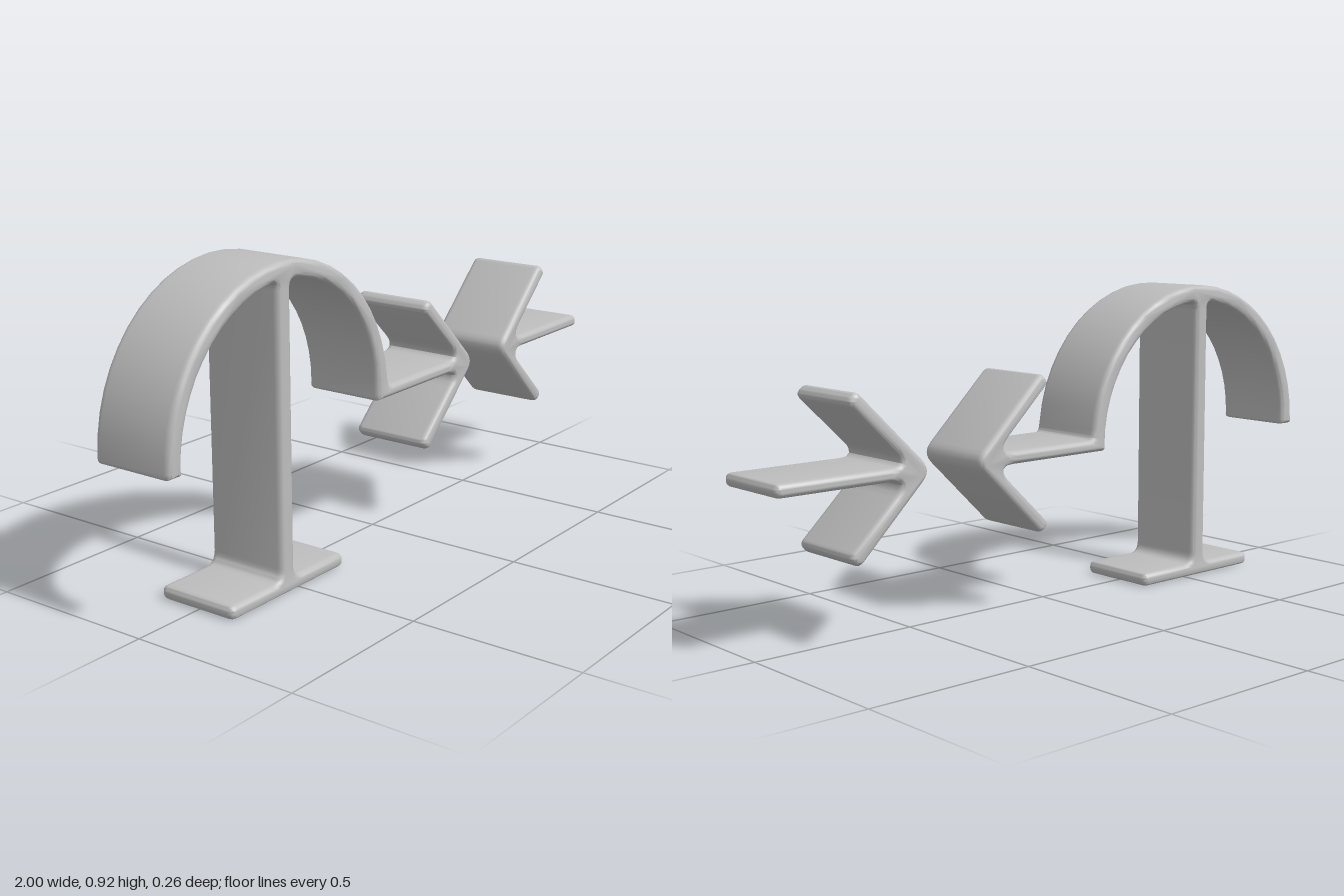
import * as THREE from 'three';
import { toCreasedNormals } from 'three/addons/utils/BufferGeometryUtils.js';

const DEPTH = 0.256, BEVEL = 0.02, MID = 0.465, HALF = 0.019;

// Closed outline from [x, y, cornerRadius] points
function roundedShape(points) {
  const shape = new THREE.Shape();
  const v = points.map(([x, y]) => new THREE.Vector2(x, y));
  const n = v.length;
  points.forEach(([, , r = 0], i) => {
    const p = v[i], a = v[(i + n - 1) % n].clone().sub(p), b = v[(i + 1) % n].clone().sub(p);
    const angle = Math.acos(THREE.MathUtils.clamp(a.dot(b) / (a.length() * b.length()), -1, 1));
    const t = Math.min(r / Math.tan(angle / 2), a.length() * 0.48, b.length() * 0.48);
    const start = p.clone().addScaledVector(a.normalize(), t);
    if (i === 0) shape.moveTo(start.x, start.y);
    else shape.lineTo(start.x, start.y);
    if (r > 0) {
      const end = p.clone().addScaledVector(b.normalize(), t);
      shape.quadraticCurveTo(p.x, p.y, end.x, end.y);
    }
  });
  return shape;
}

// Points along a circular arc of the arch, angles in degrees
function arc(radius, from, to, steps) {
  return Array.from({ length: steps + 1 }, (_, i) => {
    const a = THREE.MathUtils.degToRad(from + (to - from) * i / steps);
    return [-0.545 + radius * Math.cos(a), MID + radius * Math.sin(a), 0];
  });
}

// Arrowhead pointing to +x, traced from the bar's underside to its top
function arrowHead(apex) {
  const upper = [
    [apex - 0.245, 0.235, 0.021], [apex - 0.276, 0.204, 0.021], [apex - 0.08, HALF, 0.025],
  ];
  const lower = upper.map(([x, y, r]) => [x, -y, r]).reverse();
  return [...lower, [apex, 0, 0.045], ...upper].map(([x, y, r]) => [x, MID + y, r]);
}

function solid(name, points, material) {
  const geometry = new THREE.ExtrudeGeometry(roundedShape(points), {
    depth: DEPTH - 2 * BEVEL, curveSegments: 6, bevelEnabled: true,
    bevelThickness: BEVEL, bevelSize: 0.015, bevelOffset: -0.015, bevelSegments: 4,
  });
  geometry.translate(0, 0, BEVEL - DEPTH / 2);
  const mesh = new THREE.Mesh(toCreasedNormals(geometry, 0.7), material);
  mesh.name = name;
  return mesh;
}

export function createModel() {
  const group = new THREE.Group();
  group.name = 'archAndArrows';
  const grey = new THREE.MeshStandardMaterial({ color: 0xbebebe });
  grey.name = 'grey';

  // Footed post under an arch that runs into the first arrow
  group.add(solid('archWithPostAndArrow', [
    [-0.785, 0.003, 0.018], [-0.31, 0.003, 0.018], [-0.31, 0.043, 0.018],
    [-0.526, 0.043, 0.035], [-0.526, 0.869, 0.035],
    ...arc(0.405, 80, 0, 12),
    [-0.14, MID - HALF, 0.03],
    ...arrowHead(0.36),
    [-0.088, MID + HALF, 0.02],
    ...arc(0.455, 6, 180, 24),
    [-1, 0.448, 0.022], [-0.95, 0.448, 0.022],
    ...arc(0.405, 180, 101, 12),
    [-0.579, 0.869, 0.035], [-0.579, 0.043, 0.035], [-0.785, 0.043, 0.018],
  ], grey));

  // Separate arrow facing back toward the first one
  const arrow = solid('facingArrow', [
    [-1, MID - HALF, 0.018], ...arrowHead(-0.506), [-1, MID + HALF, 0.018],
  ], grey);
  arrow.rotation.y = Math.PI;
  group.add(arrow);

  return group;
}
